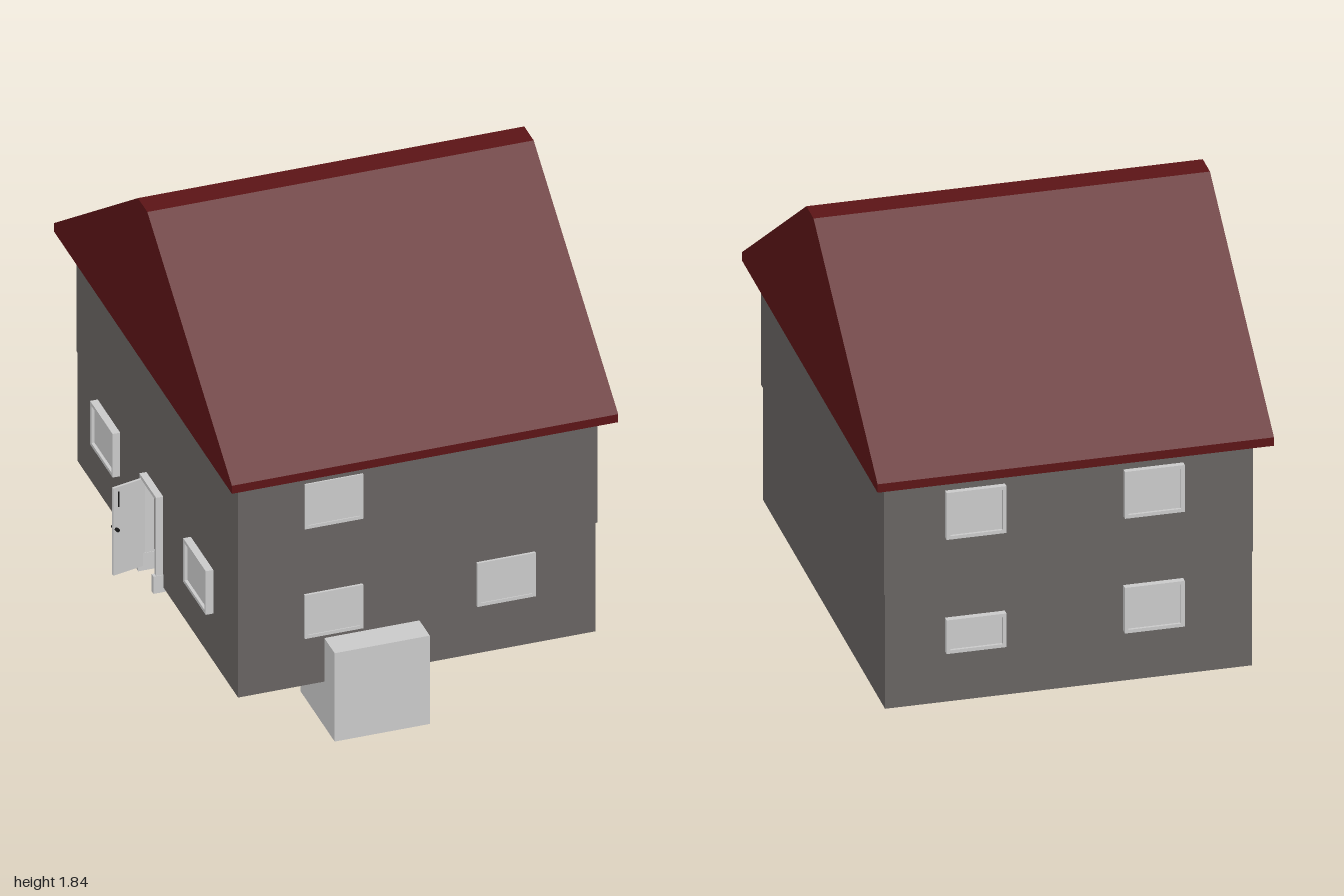
import * as THREE from 'three';

const paint = (color) => new THREE.MeshStandardMaterial({ color });
const light = paint(0xcccccc);
const wall = paint(0x686462);
const floorGrey = paint(0x666666);
const roofRed = paint(0x5c1416);
const rugRed = paint(0x5a0a08);
const matBlue = paint(0x6470b0);
const black = paint(0x151515);

export function createModel() {
  const house = new THREE.Group();
  house.name = 'house';

  // box given by its limits on each axis
  const block = (name, [x0, x1], [y0, y1], [z0, z1], material, parent = house) => {
    const mesh = new THREE.Mesh(new THREE.BoxGeometry(x1 - x0, y1 - y0, z1 - z0), material);
    mesh.position.set((x0 + x1) / 2, (y0 + y1) / 2, (z0 + z1) / 2);
    mesh.name = name;
    parent.add(mesh);
    return mesh;
  };

  // four walls of a storey; the right-hand one may have a doorway
  const T = 0.03;
  const storey = (name, X, Y, Z, door) => {
    const g = new THREE.Group();
    g.name = name;
    house.add(g);
    const inner = [Z[0] + T, Z[1] - T];
    block('frontWall', X, Y, [inner[1], Z[1]], wall, g);
    block('backWall', X, Y, [Z[0], inner[0]], wall, g);
    block('leftWall', [X[1] - T, X[1]], Y, inner, wall, g);
    const side = [X[0], X[0] + T];
    if (door) {
      block('rightWallBack', side, Y, [inner[0], door.z[0]], wall, g);
      block('rightWallFront', side, Y, [door.z[1], inner[1]], wall, g);
      block('doorLintel', side, [door.top, Y[1]], door.z, wall, g);
    } else block('rightWall', side, Y, inner, wall, g);
  };
  storey('lowerStorey', [-0.66, 0.75], [0.195, 0.67], [-0.9, 0.885], { z: [-0.13, 0.05], top: 0.58 });
  storey('upperStorey', [-0.662, 0.755], [0.67, 1.15], [-0.903, 0.889]);
  block('storeySlab', [-0.63, 0.72], [0.65, 0.68], [-0.87, 0.855], floorGrey);

  // ground floor with an L-shaped gap along two outer walls
  const floorShape = new THREE.Shape([
    [-0.63, -0.87], [0.04, -0.87], [0.04, -0.8], [0.63, -0.8], [0.63, -0.3], [0.72, -0.3],
    [0.72, 0.855], [-0.63, 0.855],
  ].map(([x, z]) => new THREE.Vector2(x, z)));
  const floor = new THREE.Mesh(
    new THREE.ExtrudeGeometry(floorShape, { depth: 0.015, bevelEnabled: false }).rotateX(Math.PI / 2),
    floorGrey
  );
  floor.position.y = 0.215;
  floor.name = 'groundFloor';
  house.add(floor);
  block('cornerUnit', [0.04, 0.63], [0.215, 0.5], [-0.8, -0.3], light);

  // inner partitions
  const low = [0.195, 0.65];
  block('partitionLong', [0.0, 0.03], low, [-0.87, -0.11], wall);
  block('partitionLeft', [0.03, 0.72], low, [-0.14, -0.11], wall);
  block('partitionRight', [-0.63, 0.0], low, [-0.355, -0.325], wall);

  // roof prism with thick eaves and a flat ridge
  const profile = new THREE.Shape([
    [-1, 1.15], [0.98, 1.15], [0.98, 1.185], [0.04, 1.835], [-0.065, 1.835], [-1, 1.185],
  ].map(([z, y]) => new THREE.Vector2(z, y)));
  const roof = new THREE.Mesh(
    new THREE.ExtrudeGeometry(profile, { depth: 1.523, bevelEnabled: false }).rotateY(-Math.PI / 2),
    roofRed
  );
  roof.position.x = 0.805;
  roof.name = 'roof';
  house.add(roof);

  // framed window, built facing +z and turned to its wall
  const windowUnit = (x, y, z, turn, w, h, out) => {
    const g = new THREE.Group();
    g.name = 'window';
    g.position.set(x, y, z);
    g.rotation.y = turn;
    house.add(g);
    const f = 0.014, a = w / 2, b = h / 2, d = [-0.03, out];
    block('frameTop', [-a, a], [b - f, b], d, light, g);
    block('frameBottom', [-a, a], [-b, -b + f], d, light, g);
    block('frameSide', [-a, -a + f], [-b + f, b - f], d, light, g);
    block('frameSide', [a - f, a], [-b + f, b - f], d, light, g);
    block('pane', [-a + f, a - f], [-b + f, b - f], [-0.02, out * 0.6], light, g);
  };
  const W = 0.23, H = 0.19, LOW = 0.4975, HIGH = 0.9775;
  windowUnit(-0.285, HIGH, 0.885, 0, W, H + 0.005, 0.01);
  windowUnit(-0.285, LOW, 0.885, 0, W, H, 0.01);
  windowUnit(0.395, LOW, 0.885, 0, W, H, 0.01);
  for (const x of [0.405, -0.28]) windowUnit(x, HIGH, -0.9, Math.PI, W, H + 0.005, 0.025);
  windowUnit(-0.28, LOW, -0.9, Math.PI, W, H, 0.025);
  windowUnit(0.405, 0.475, -0.9, Math.PI, W, 0.14, 0.025);
  for (const z of [-0.55, 0.485]) windowUnit(-0.66, LOW, z, -Math.PI / 2, 0.25, H, 0.03);

  // door frames: two jambs with feet and a head, built facing +z
  const doorFrame = (name, x, z, turn) => {
    const g = new THREE.Group();
    g.name = name;
    g.position.set(x, 0, z);
    g.rotation.y = turn;
    house.add(g);
    for (const s of [-1, 1]) {
      const cx = s * 0.085;
      block('jamb', [cx - 0.008, cx + 0.008], [0.175, 0.59], [-0.026, 0.026], light, g);
      block('jambFoot', [cx - 0.01, cx + 0.01], [0.175, 0.25], [-0.037, 0.037], light, g);
    }
    block('head', [-0.077, 0.077], [0.575, 0.59], [-0.026, 0.026], light, g);
  };
  doorFrame('entranceFrame', -0.662, -0.04, -Math.PI / 2);
  doorFrame('innerFrame', 0.375, -0.127, 0);
  doorFrame('innerFrame', -0.125, -0.34, 0);

  // open entrance door, hinged on its back jamb
  const door = new THREE.Group();
  door.name = 'entranceDoor';
  door.position.set(-0.66, 0, -0.125);
  door.rotation.y = 0.23;
  house.add(door);
  block('leaf', [-0.152, 0], [0.195, 0.575], [-0.005, 0.005], light, door);
  block('pullBar', [-0.133, -0.128], [0.49, 0.555], [-0.009, 0.009], black, door);
  const knob = new THREE.Mesh(new THREE.CylinderGeometry(0.007, 0.007, 0.04, 12).rotateX(Math.PI / 2), black);
  knob.position.set(-0.14, 0.395, 0);
  knob.name = 'doorKnob';
  door.add(knob);

  // front porch block
  block('frontBlock', [-0.32, 0.055], [0, 0.385], [0.62, 1], light);

  // rugs and furniture feet showing under the floor
  block('redRug', [-0.63, -0.45], [0.196, 0.22], [0.22, 0.62], rugRed);
  block('blueMat', [-0.63, -0.46], [0.197, 0.22], [-0.83, -0.69], matBlue);
  for (const x of [0.24, 0.33, 0.49, 0.57])
    for (const z of [0.22, 0.31, 0.43, 0.51]) {
      const foot = new THREE.Mesh(new THREE.CylinderGeometry(0.01, 0.01, 0.1, 10), black);
      foot.position.set(x, 0.244, z);
      foot.name = 'furnitureFoot';
      house.add(foot);
    }

  return house;
}
